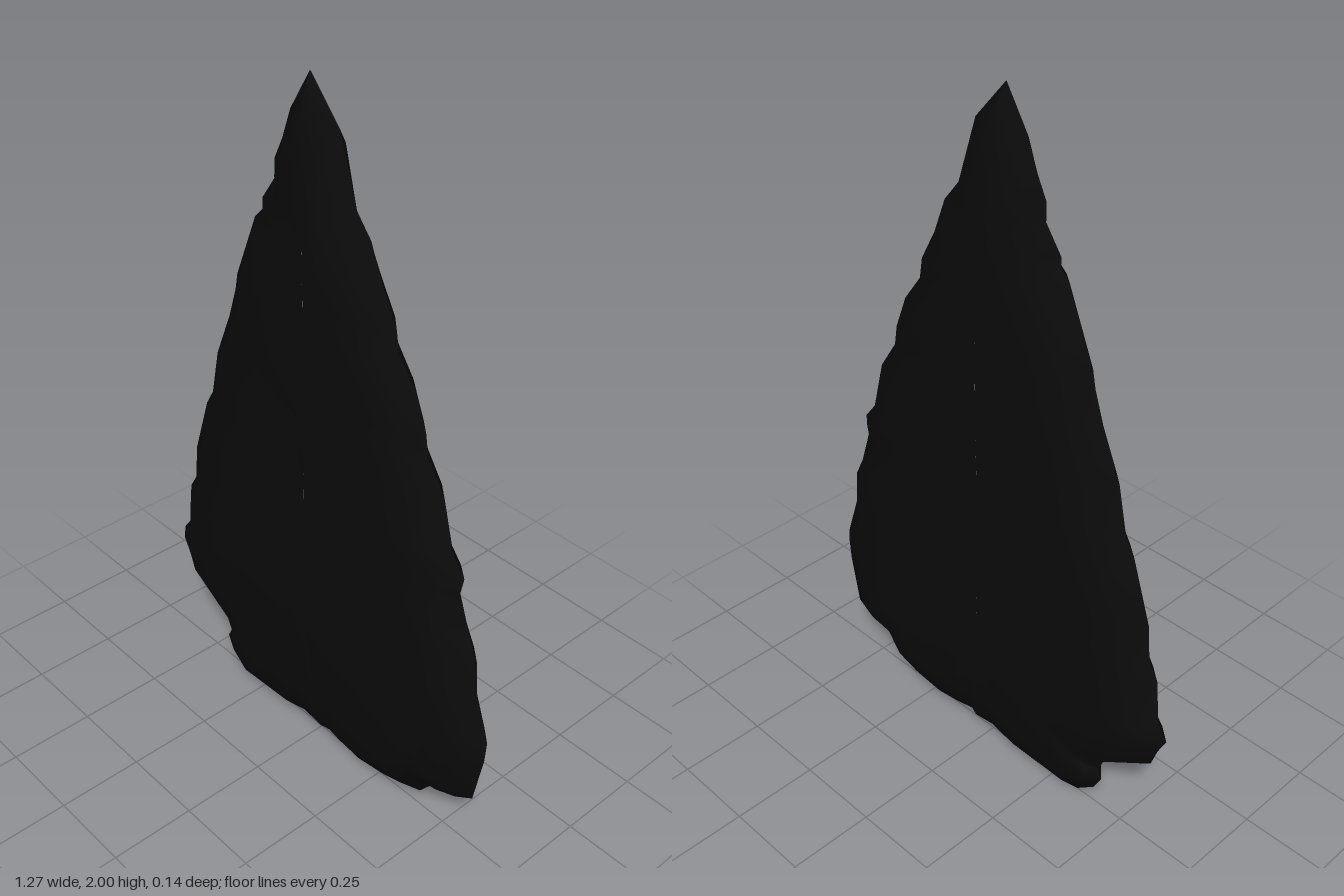
import * as THREE from 'three';
import { toCreasedNormals } from 'three/addons/utils/BufferGeometryUtils.js';

// Chipped outline of the blade, clockwise from the tip
const OUTLINE = [
  [-0.04, 2], [0.06, 1.89], [0.12, 1.71], [0.17, 1.65], [0.21, 1.55], [0.26, 1.46], [0.27, 1.4],
  [0.33, 1.32], [0.37, 1.22], [0.38, 1.16], [0.44, 1.07], [0.48, 0.92], [0.52, 0.87], [0.51, 0.82],
  [0.55, 0.7], [0.58, 0.64], [0.59, 0.53], [0.635, 0.4], [0.63, 0.33], [0.6, 0.17], [0.54, 0.13],
  [0.46, 0.115], [0.41, 0.05], [0.33, 0.02], [0.22, 0], [0.13, 0.01], [0.06, 0.025], [0.04, 0.01],
  [-0.04, 0.02], [-0.13, 0], [-0.34, 0], [-0.4, 0.05], [-0.425, 0.1], [-0.41, 0.13], [-0.43, 0.17],
  [-0.59, 0.28], [-0.61, 0.34], [-0.635, 0.39], [-0.605, 0.43], [-0.59, 0.57], [-0.56, 0.62],
  [-0.55, 0.73], [-0.49, 0.91], [-0.46, 0.96], [-0.43, 1.1], [-0.37, 1.24], [-0.34, 1.33],
  [-0.33, 1.38], [-0.25, 1.57], [-0.22, 1.6], [-0.22, 1.63], [-0.17, 1.7], [-0.17, 1.75],
  [-0.14, 1.81], [-0.11, 1.89],
];

// Inset from the edge and half thickness of each ring; the last ring closes on the spine
const RINGS = [[0, 0], [0.045, 0.037], [0.1, 0.058], [0.2, 0.064], [Infinity, 0.066]];

function ringPoint([x, y], [inset, thickness], side) {
  const spineY = THREE.MathUtils.clamp(y, 0.42, 1.6);
  const t = Math.min(1, inset / Math.hypot(x, y - spineY));
  const px = x * (1 - t);
  const py = THREE.MathUtils.lerp(y, spineY, t);
  // Thin towards the tip, with shallow knapped hollows
  const taper = Math.min(1, 0.6 + (2 - py) * 0.9);
  const chips = 1 + 0.05 * Math.sin(px * 13 + side) * Math.sin(py * 11 + side * 2);
  return new THREE.Vector3(px, py, side * thickness * taper * chips);
}

// One face of the blade, from the sharp edge in to the spine
function faceGeometry(side) {
  const positions = [];
  const addTriangle = (a, b, c) => {
    const area = b.clone().sub(a).cross(c.clone().sub(a)).length();
    if (area < 1e-7) return;
    for (const p of side > 0 ? [a, b, c] : [a, c, b]) positions.push(p.x, p.y, p.z);
  };
  OUTLINE.forEach((p, i) => {
    const next = OUTLINE[(i + 1) % OUTLINE.length];
    for (let r = 0; r < RINGS.length - 1; r++) {
      const a = ringPoint(p, RINGS[r], side);
      const b = ringPoint(next, RINGS[r], side);
      const c = ringPoint(p, RINGS[r + 1], side);
      const d = ringPoint(next, RINGS[r + 1], side);
      addTriangle(a, c, b);
      addTriangle(b, c, d);
    }
  });
  const geometry = new THREE.BufferGeometry();
  geometry.setAttribute('position', new THREE.Float32BufferAttribute(positions, 3));
  return toCreasedNormals(geometry, Math.PI / 4);
}

export function createModel() {
  const group = new THREE.Group();
  group.name = 'stoneArrowhead';
  const stone = new THREE.MeshStandardMaterial({ color: 0x0b0b0b });
  stone.name = 'black stone';
  for (const [name, side] of [['bladeFront', 1], ['bladeBack', -1]]) {
    const mesh = new THREE.Mesh(faceGeometry(side), stone);
    mesh.name = name;
    group.add(mesh);
  }
  return group;
}
